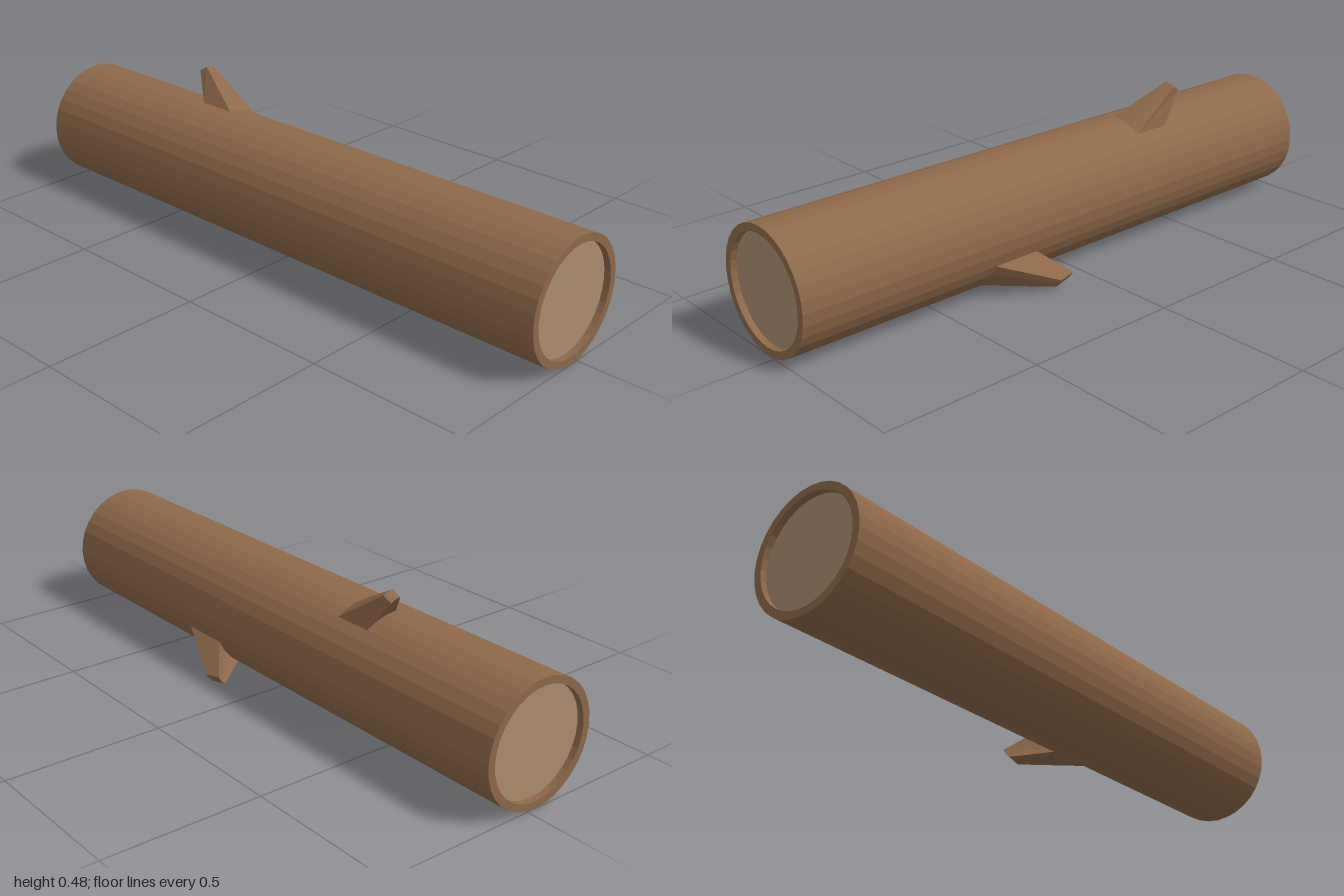
import * as THREE from 'three';

const SIDES = 32, R = 0.1915, INNER = 0.168, HALF = 1, RECESS = 0.02;
const STEP = (Math.PI * 2) / SIDES;
const AXIS = new THREE.Vector2(-0.03, 0.1915); // log axis, running along z

// Tapered stub growing out of a patch three facets wide, starting at facet `first`
// and going clockwise. tip = front centre of the tip, drop = shift of its back edge.
function stubGeometry({ first, zFront, zBack, tip, scale, drop }) {
  const arc = [0, 1, 2, 3].map(i => {
    const a = (first - i) * STEP;
    return new THREE.Vector2(Math.cos(a), Math.sin(a)).multiplyScalar(R);
  });
  const mid = arc[1].clone().add(arc[2]).multiplyScalar(0.5);
  const point = (p, z) => new THREE.Vector3(AXIS.x + p.x, AXIS.y + p.y, z);
  const baseF = arc.map(p => point(p, zFront));
  const baseB = arc.map(p => point(p, zBack));
  const tipF = arc.map(p => {
    const q = p.clone().sub(mid).multiplyScalar(scale);
    return new THREE.Vector3(tip[0] + q.x, tip[1] + q.y, tip[2]);
  });
  const shift = new THREE.Vector3(...drop);
  const tipB = tipF.map(p => p.clone().add(shift));

  const out = [];
  const quad = (a, b, c, d) => [a, b, c, a, c, d].forEach(v => out.push(v.x, v.y, v.z));
  for (let i = 0; i < 3; i++) {
    quad(tipF[i], tipF[i + 1], tipB[i + 1], tipB[i]);
    quad(baseF[i], baseF[i + 1], tipF[i + 1], tipF[i]);
    quad(baseB[i + 1], baseB[i], tipB[i], tipB[i + 1]);
  }
  quad(baseB[0], baseF[0], tipF[0], tipB[0]);
  quad(baseF[3], baseB[3], tipB[3], tipF[3]);
  const g = new THREE.BufferGeometry();
  g.setAttribute('position', new THREE.Float32BufferAttribute(out, 3));
  g.computeVertexNormals();
  return g;
}

export function createModel() {
  const group = new THREE.Group();
  group.name = 'log';
  const bark = new THREE.MeshStandardMaterial({ color: 0x8e6848, flatShading: true });
  bark.name = 'bark brown';
  const wood = new THREE.MeshStandardMaterial({ color: 0xac8c6f, flatShading: true });
  wood.name = 'cut wood';

  const add = (name, geometry, material) => {
    const mesh = new THREE.Mesh(geometry, material);
    mesh.name = name;
    group.add(mesh);
    return mesh;
  };

  // Bark shell with a rim and a shallow recess at each end
  const profile = [
    [INNER, -HALF + RECESS], [INNER, -HALF], [R, -HALF],
    [R, HALF], [INNER, HALF], [INNER, HALF - RECESS],
  ].map(p => new THREE.Vector2(...p));
  const trunk = add('trunk', new THREE.LatheGeometry(profile, SIDES), bark);
  trunk.rotation.x = Math.PI / 2;
  trunk.position.set(AXIS.x, AXIS.y, 0);

  // Cut faces set inside the rims
  for (const side of [1, -1]) {
    const cut = add(side > 0 ? 'frontCutFace' : 'backCutFace',
      new THREE.CircleGeometry(INNER, SIDES), wood);
    cut.position.set(AXIS.x, AXIS.y, side * (HALF - RECESS));
    if (side < 0) cut.rotation.y = Math.PI;
  }

  // Broken branch stubs, both leaning backwards
  add('upperBranch', stubGeometry({
    first: 8, zFront: -0.315, zBack: -0.44,
    tip: [0.049, 0.476, -0.49], scale: 0.32, drop: [-0.004, -0.016, -0.027],
  }), bark);
  add('lowerBranch', stubGeometry({
    first: -2, zFront: 0.34, zBack: 0.18,
    tip: [0.211, 0.022, 0.15], scale: 0.35, drop: [-0.009, 0.007, -0.055],
  }), bark);

  return group;
}
